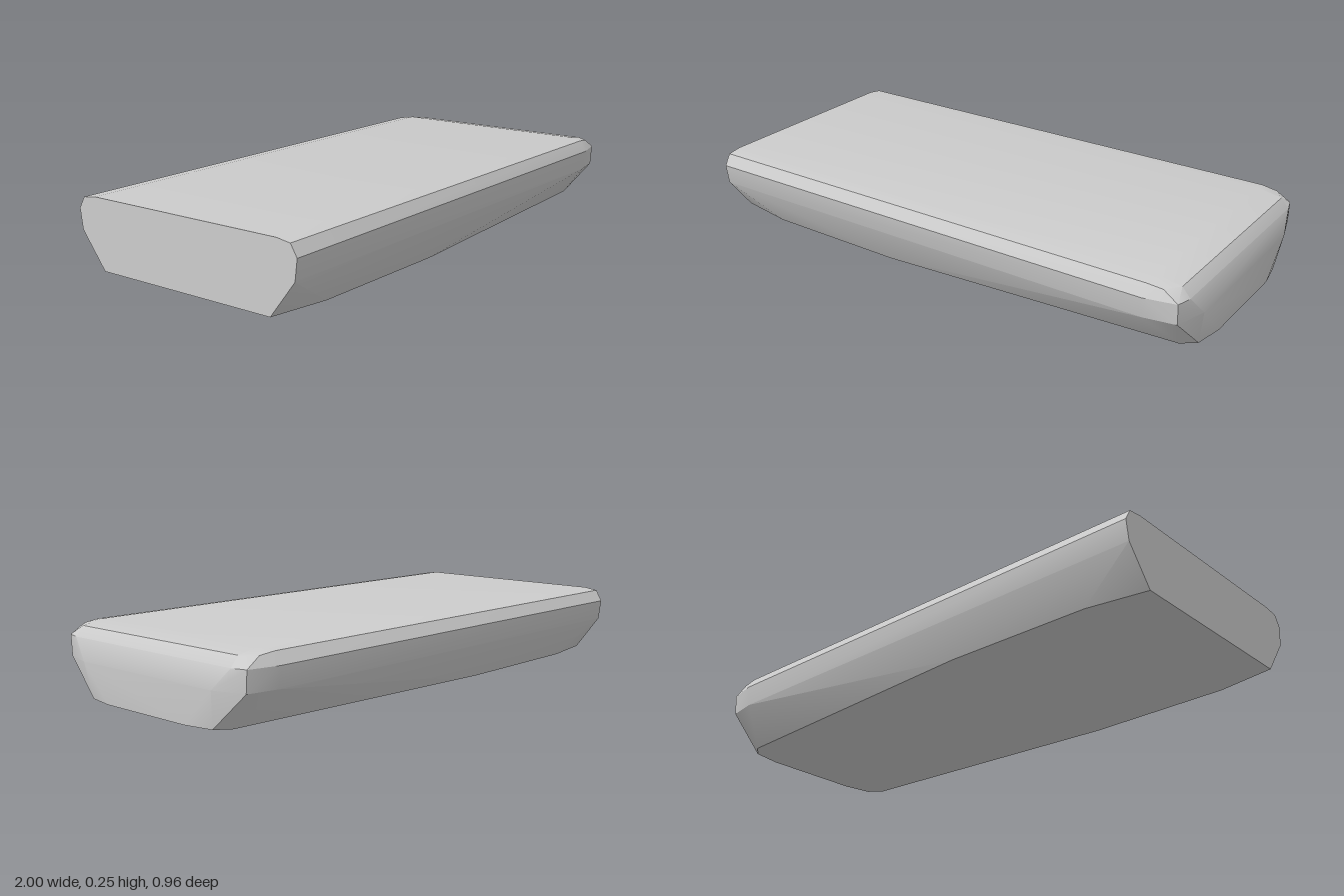
import * as THREE from 'three';
import { ConvexGeometry } from 'three/addons/geometries/ConvexGeometry.js';
import { toCreasedNormals } from 'three/addons/utils/BufferGeometryUtils.js';

// Half outlines [x, z] of the slab at rising heights, cut flat at x = -1
const layers = [
  { y: 0, outline: [[-1, 0.37], [-0.78, 0.41], [-0.22, 0.42], [0.93, 0.35], [0.98, 0.31], [1, 0.2]] },
  { y: 0.13, outline: [[-1, 0.47], [0.85, 0.47], [0.965, 0.45], [1, 0.33]] },
  { y: 0.205, outline: [[-1, 0.48], [0.85, 0.48], [0.965, 0.455], [0.98, 0.4]] },
  { y: 0.24, outline: [[0.91, 0.45], [0.95, 0.4]] },
  { y: 0.247, outline: [[-1, 0.455], [0.85, 0.455]] },
  { y: 0.255, outline: [[-1, 0.4], [0.86, 0.4]] },
];

export function createModel() {
  const group = new THREE.Group();
  group.name = 'slab';

  // Mirror every outline across z and wrap the layers in one faceted skin
  const points = [];
  for (const { y, outline } of layers) {
    for (const [x, z] of outline) {
      points.push(new THREE.Vector3(x, y, z), new THREE.Vector3(x, y, -z));
    }
  }
  const geometry = toCreasedNormals(new ConvexGeometry(points), THREE.MathUtils.degToRad(28));
  const body = new THREE.Mesh(geometry, new THREE.MeshStandardMaterial({ color: 0xcccccc }));
  body.name = 'slabBody';
  group.add(body);
  return group;
}
